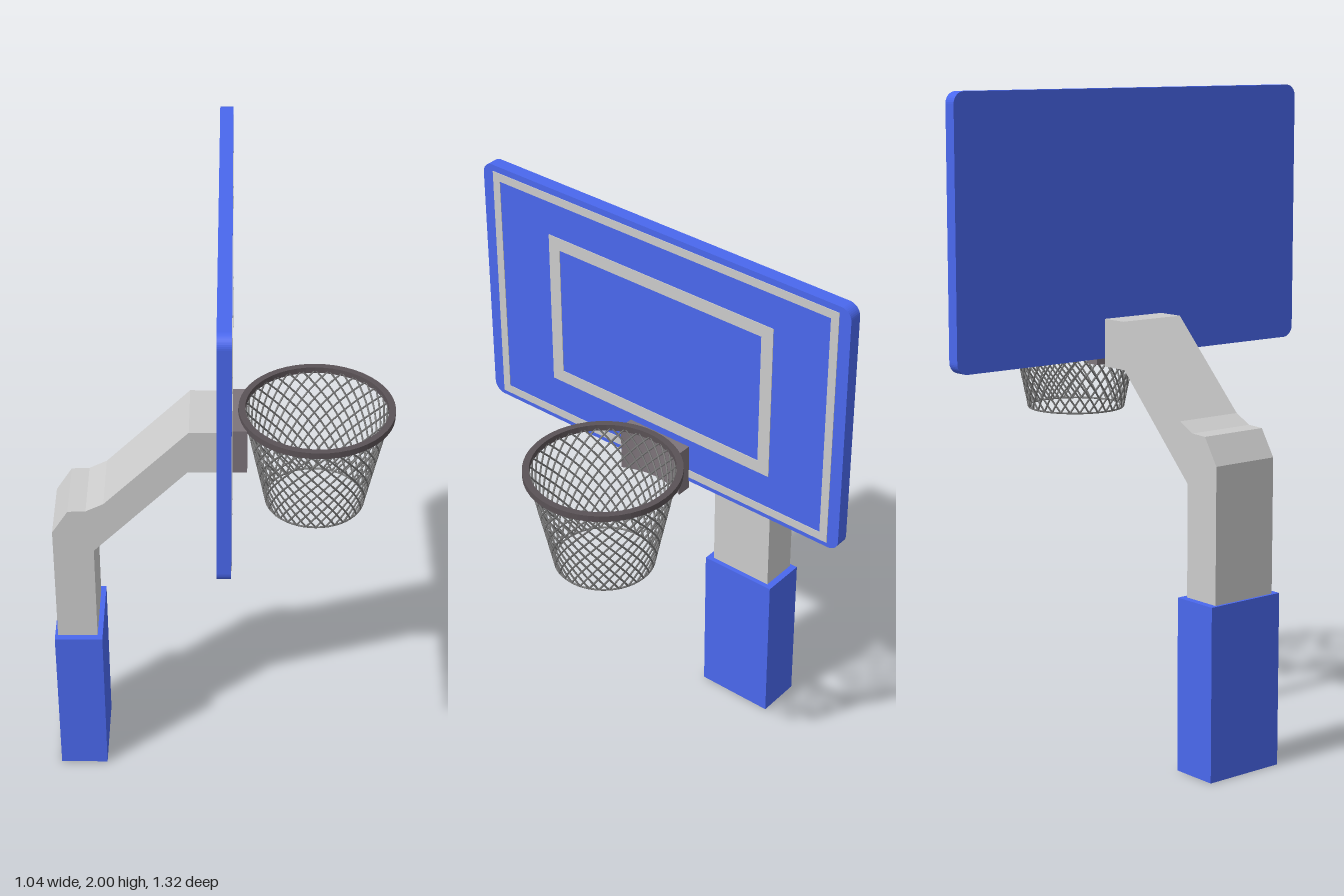
import * as THREE from 'three';

const mat = (color) => new THREE.MeshStandardMaterial({ color });

export function createModel() {
  const group = new THREE.Group();
  const blue = mat(0x4a68ee), grey = mat(0xcccccc), dark = mat(0x7d747a);
  const rimMat = mat(0x5a5256), netMat = mat(0x777777);
  const armZ = -0.006, armW = 0.222;
  const hoopX = 0.285, hoopY = 1.325;

  const add = (name, geometry, material, x = 0, y = 0, z = 0) => {
    const mesh = new THREE.Mesh(geometry, material);
    mesh.name = name;
    mesh.position.set(x, y, z);
    group.add(mesh);
    return mesh;
  };

  // Padded base around the post
  add('basePad', new THREE.BoxGeometry(0.15, 0.53, 0.266), blue, -0.449, 0.265, armZ);

  // Bent post and arm, one side profile extruded across z
  const profile = [
    [-0.515, 0.5], [-0.39, 0.5], [-0.39, 0.87], [-0.1, 1.17], [-0.008, 1.17], [-0.008, 1.315],
    [-0.095, 1.315], [-0.355, 1.05], [-0.41, 1.022], [-0.465, 1.02], [-0.515, 0.94],
  ].map(([x, y]) => new THREE.Vector2(x, y));
  add('postArm', new THREE.ExtrudeGeometry(new THREE.Shape(profile),
    { depth: armW, bevelEnabled: false }), grey, 0, 0, armZ - armW / 2);

  // Rounded rectangle, drawn in the board's own plane
  const roundRect = (w, h, r) => {
    const s = new THREE.Shape(), a = w / 2, b = h / 2;
    s.moveTo(-a + r, -b).lineTo(a - r, -b);
    s.absarc(a - r, -b + r, r, -Math.PI / 2, 0);
    s.absarc(a - r, b - r, r, 0, Math.PI / 2);
    s.absarc(-a + r, b - r, r, Math.PI / 2, Math.PI);
    s.absarc(-a + r, -b + r, r, Math.PI, Math.PI * 1.5);
    return s;
  };
  // Slab facing +x
  const slab = (shape, depth) => new THREE.ExtrudeGeometry(shape,
    { depth, bevelEnabled: false, curveSegments: 5 }).rotateY(Math.PI / 2);

  add('backboard', slab(roundRect(1.316, 0.805, 0.035), 0.04), blue, -0.008, 1.5975, 0);

  // Painted border and target square
  const frame = (name, w, h, t, y) => {
    const box = (a, b) => [[-a, -b], [a, -b], [a, b], [-a, b]].map(([x, v]) => new THREE.Vector2(x, v));
    const s = new THREE.Shape(box(w / 2, h / 2));
    s.holes.push(new THREE.Path(box(w / 2 - t, h / 2 - t)));
    add(name, slab(s, 0.003), grey, 0.031, y, 0);
  };
  frame('borderLine', 1.24, 0.77, 0.026, 1.595);
  frame('targetSquare', 0.816, 0.5, 0.04, 1.595);

  // Bracket with a hollow face that hugs the rim
  const half = armW / 2, reach = Math.asin(half / 0.235);
  const bracket = new THREE.Shape();
  bracket.moveTo(0.03, -half);
  bracket.lineTo(hoopX - 0.235 * Math.cos(reach), -half);
  bracket.absarc(hoopX, 0, 0.235, Math.PI + reach, Math.PI - reach, true);
  bracket.lineTo(0.03, half);
  add('rimBracket', new THREE.ExtrudeGeometry(bracket,
    { depth: 0.15, bevelEnabled: false, curveSegments: 16 }).rotateX(-Math.PI / 2), dark, 0, 1.17, armZ);

  // Rim: flat band with a square section
  const band = [[0.214, -0.01], [0.234, -0.01], [0.234, 0.01], [0.214, 0.01], [0.214, -0.01]]
    .map(([x, y]) => new THREE.Vector2(x, y));
  const rimGeo = new THREE.LatheGeometry(band, 48).toNonIndexed();
  rimGeo.computeVertexNormals();
  add('rim', rimGeo, rimMat, hoopX, hoopY, 0);

  // Net: two crossing families of spiral cords on a tapering cone
  const net = new THREE.Group();
  net.name = 'net';
  net.position.set(hoopX, 0, 0);
  const cords = 32, twist = (Math.PI * 2 / cords) * 7;
  for (const dir of [-1, 1]) {
    const points = [];
    for (let i = 0; i <= 10; i++) {
      const t = i / 10, r = 0.217 - 0.067 * t, a = dir * twist * t;
      points.push(new THREE.Vector3(r * Math.cos(a), hoopY - 0.325 * t, r * Math.sin(a)));
    }
    const cord = new THREE.TubeGeometry(new THREE.CatmullRomCurve3(points), 20, 0.003, 5);
    for (let k = 0; k < cords; k++) {
      const mesh = new THREE.Mesh(cord, netMat);
      mesh.name = 'netCord';
      mesh.rotation.y = (k / cords) * Math.PI * 2;
      net.add(mesh);
    }
  }
  const hem = new THREE.Mesh(new THREE.TorusGeometry(0.15, 0.003, 5, 48).rotateX(Math.PI / 2), netMat);
  hem.name = 'netHem';
  hem.position.y = 1.0;
  net.add(hem);
  group.add(net);

  return group;
}
